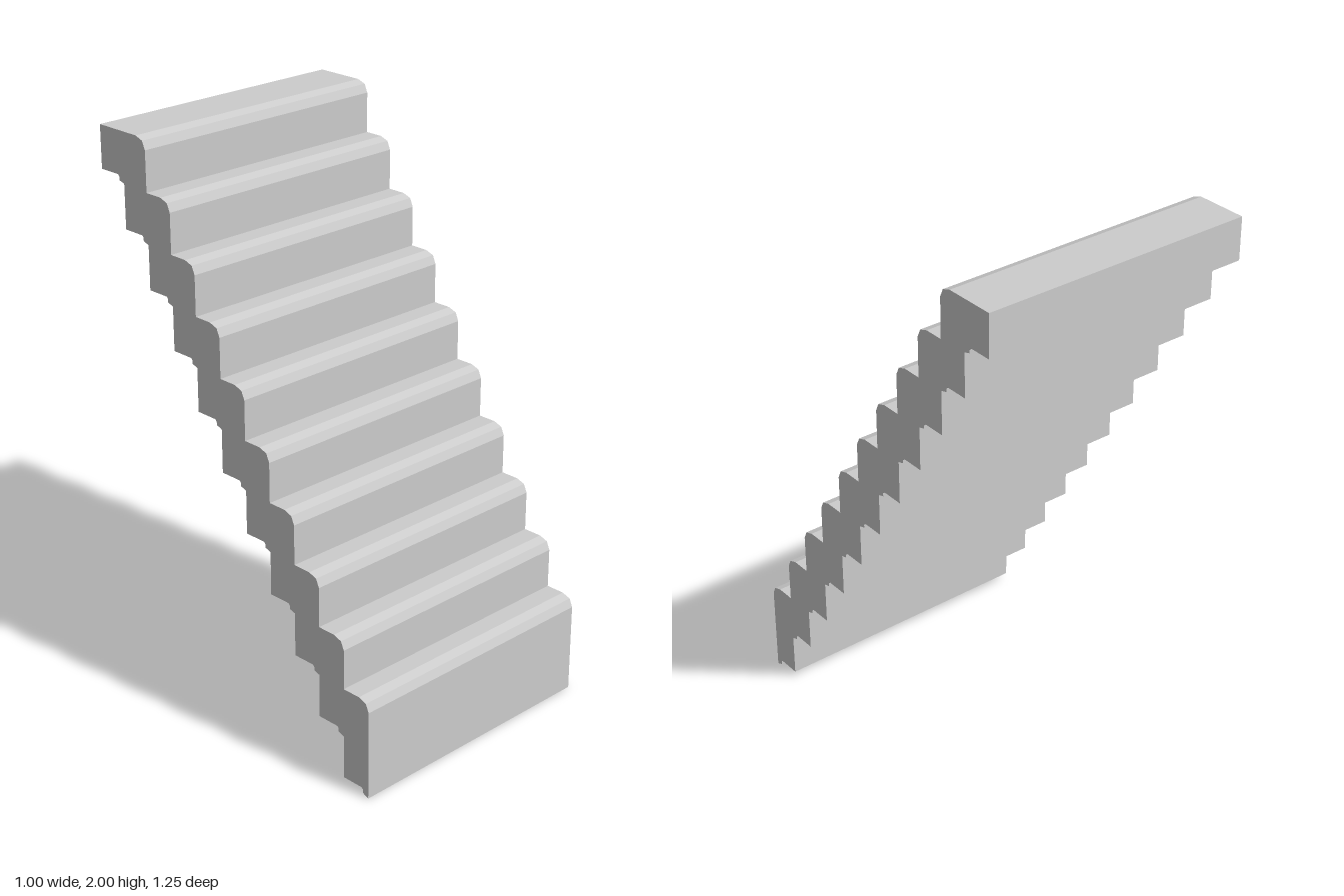
import * as THREE from 'three';

const STEPS = 10;
const RUN = 1.25 / 11;
const RISE = 0.182;
const WIDTH = 1;
const FRONT = 0.625;

export function createModel() {
  const group = new THREE.Group();
  group.name = 'staircase';
  const stone = new THREE.MeshStandardMaterial({ color: 0xcccccc });
  stone.name = 'pale grey';

  // Side profile in (z, y): front noses going up, stepped underside coming down
  const profile = [];
  for (let i = 0; i < STEPS; i++) {
    const z = FRONT - i * RUN;
    const top = 2 - (STEPS - 1 - i) * RISE;
    if (i === 0) profile.push([z, 0]);
    else profile.push([z, top - RISE]);
    profile.push([z, top - 0.04], [z - 0.013, top - 0.011], [z - 0.045, top]);
  }
  profile.push([-FRONT, 2]);
  for (let i = STEPS; i >= 0; i--) {
    const z = FRONT - i * RUN;
    const y = i * RISE;
    // Back edge, flat soffit, then the small notch below the next riser
    profile.push([z - RUN, y + 0.029], [z - 0.085 + 0.055, y + 0.029],
      [z - 0.024, y + 0.022], [z - 0.024, y + 0.01]);
    if (i > 0) profile.push([z, y + 0.003]);
  }
  // The top step is closed by a vertical back face
  const shape = new THREE.Shape(profile.map(([z, y]) => new THREE.Vector2(z, y)));

  // Sweep the profile across the width of the flight
  const geometry = new THREE.ExtrudeGeometry(shape, { depth: WIDTH, bevelEnabled: false });
  geometry.rotateY(-Math.PI / 2);
  geometry.translate(WIDTH / 2, 0, 0);
  const flight = new THREE.Mesh(geometry, stone);
  flight.name = 'stairFlight';
  group.add(flight);
  return group;
}
